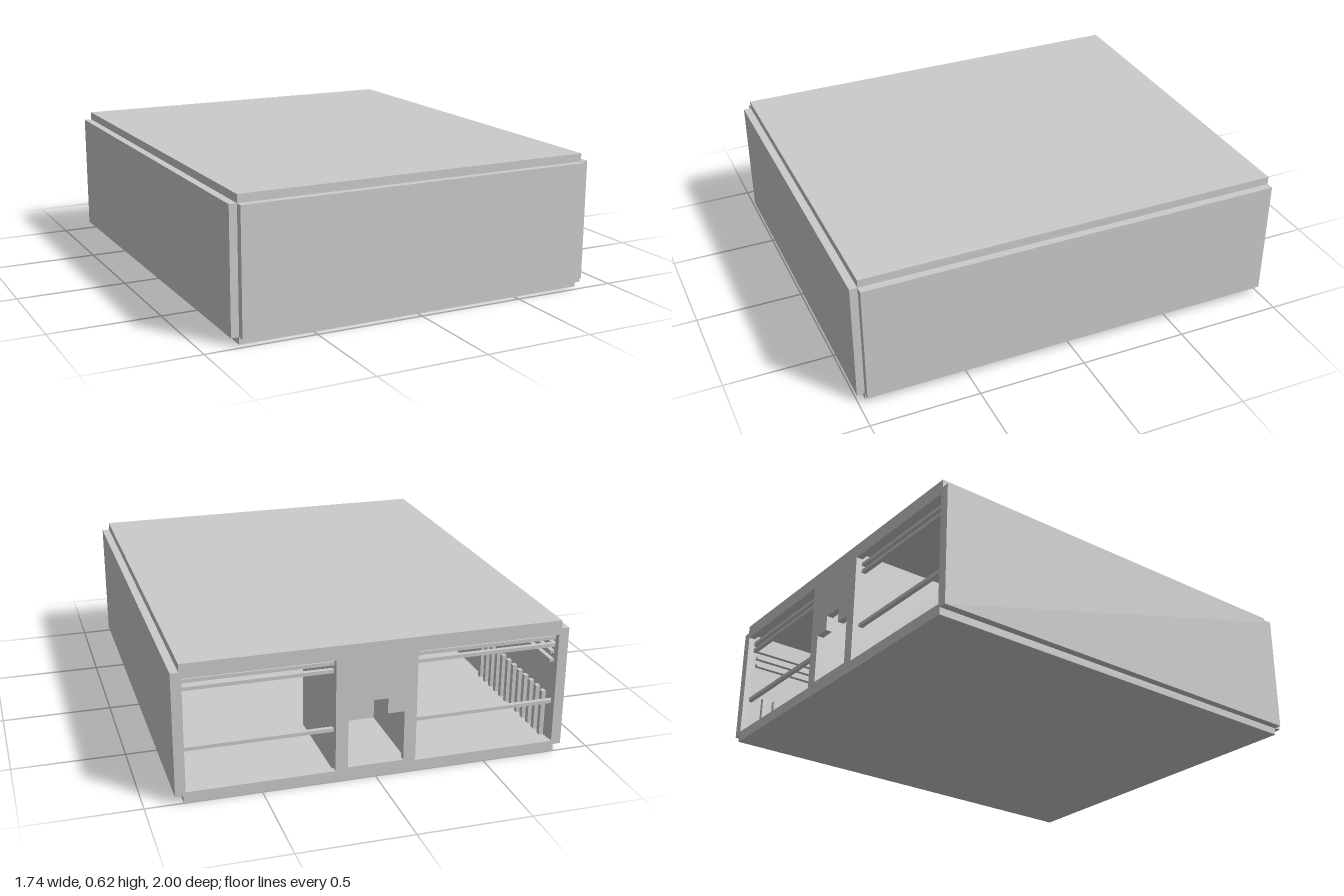
import * as THREE from 'three';

export function createModel() {
  const model = new THREE.Group();
  const grey = new THREE.MeshStandardMaterial({ color: 0xcccccc, flatShading: true });

  // Box given by its minimum and maximum on each axis
  function box(name, x0, x1, y0, y1, z0, z1) {
    const mesh = new THREE.Mesh(new THREE.BoxGeometry(x1 - x0, y1 - y0, z1 - z0), grey);
    mesh.position.set((x0 + x1) / 2, (y0 + y1) / 2, (z0 + z1) / 2);
    mesh.name = name;
    model.add(mesh);
  }
  // The same box on both sides of x = 0
  function pair(name, x0, x1, ...rest) {
    box(name + 'Left', x0, x1, ...rest);
    box(name + 'Right', -x1, -x0, ...rest);
  }
  const outline = (Kind, points) => new Kind(points.map(p => new THREE.Vector2(...p)));

  // Outer panels, stepped back from each other along every edge
  box('bottomPanel', -0.835, 0.835, 0, 0.035, -1, 0.965);
  box('topPanel', -0.835, 0.835, 0.585, 0.625, -1, 0.965);
  pair('sidePanel', 0.835, 0.87, 0.033, 0.588, -1, 0.965);
  box('frontPanel', -0.835, 0.835, 0.033, 0.588, 0.96, 1);

  // Rear frame: two wide bays and a stepped opening in the central pillar
  const frame = outline(THREE.Shape, [[-0.835, 0.035], [0.835, 0.035], [0.835, 0.585], [-0.835, 0.585]]);
  for (const s of [-1, 1]) {
    frame.holes.push(outline(THREE.Path, [
      [s * 0.18, 0.05], [s * 0.18, 0.56], [s * 0.825, 0.56], [s * 0.825, 0.05]]));
  }
  frame.holes.push(outline(THREE.Path, [
    [-0.125, 0.06], [-0.125, 0.29], [-0.05, 0.29], [-0.05, 0.36],
    [0.05, 0.36], [0.05, 0.29], [0.125, 0.29], [0.125, 0.06]]));
  const rear = new THREE.Mesh(
    new THREE.ExtrudeGeometry(frame, { depth: 0.03, bevelEnabled: false }), grey);
  rear.position.z = -1;
  rear.name = 'rearFrame';
  model.add(rear);

  // Hollow central core behind the pillar
  pair('coreWall', 0.155, 0.18, 0.035, 0.585, -0.97, -0.5);
  box('coreEnd', -0.155, 0.155, 0.035, 0.585, -0.525, -0.5);

  // Cross rails just inside the rear bays
  for (const y of [0.23, 0.5, 0.535]) {
    pair('crossRail', 0.18, 0.835, y - 0.008, y + 0.008, -0.97, -0.95);
  }

  // Long rails and upright ribs along the inner side walls
  for (const y of [0.42, 0.46, 0.5]) {
    pair('sideRail', 0.815, 0.835, y - 0.007, y + 0.007, -0.95, 0.96);
  }
  for (let i = 0; i < 12; i++) {
    const z = -0.9 + i * 0.06;
    pair('sideRib', 0.815, 0.835, 0.035, 0.25, z, z + 0.025);
  }
  return model;
}
